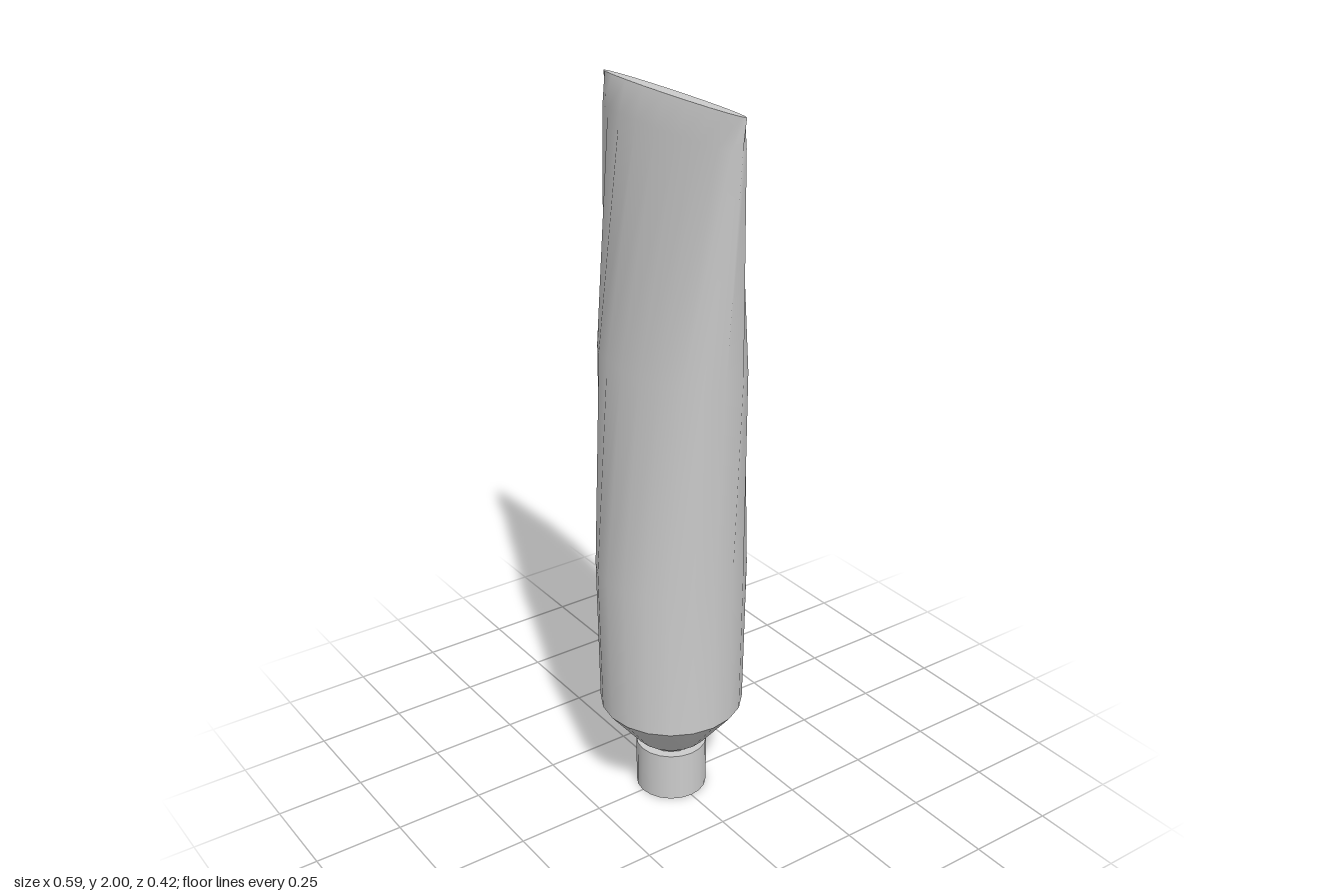
import * as THREE from 'three';

const SIDES = 20;

// Skin through rings of [y, halfWidth, halfDepth, fullness]
function loft(rings) {
  const pos = [], index = [];
  for (const [y, w, d, p] of rings) {
    for (let i = 0; i < SIDES; i++) {
      const a = (i / SIDES) * Math.PI * 2, s = Math.sin(a);
      const z = Math.abs(s) < 1e-6 ? 0 : Math.sign(s) * d * Math.abs(s) ** p;
      pos.push(w * Math.cos(a), y, z);
    }
  }
  for (let j = 0; j < rings.length - 1; j++) {
    for (let i = 0; i < SIDES; i++) {
      const a = j * SIDES + i, b = j * SIDES + ((i + 1) % SIDES);
      index.push(a, a + SIDES, b, b, a + SIDES, b + SIDES);
    }
  }
  const g = new THREE.BufferGeometry();
  g.setAttribute('position', new THREE.Float32BufferAttribute(pos, 3));
  g.setIndex(index);
  g.computeVertexNormals();
  return g;
}

export function createModel() {
  const group = new THREE.Group();
  const grey = new THREE.MeshStandardMaterial({ color: 0xcccccc });
  grey.name = 'light grey';

  const add = (name, geometry) => {
    const mesh = new THREE.Mesh(geometry, grey);
    mesh.name = name;
    group.add(mesh);
    return mesh;
  };

  // Screw cap the tube stands on
  add('cap', new THREE.CylinderGeometry(0.1, 0.1, 0.145, SIDES)).position.y = 0.0725;

  // Short neck and conical shoulder
  const profile = [[0.07, 0.14], [0.08, 0.152], [0.105, 0.17], [0.2, 0.288]];
  add('shoulder', new THREE.LatheGeometry(
    profile.map(([r, y]) => new THREE.Vector2(r, y)), SIDES));

  // Round body that flattens and widens toward the crimped end
  add('body', loft([
    [0.288, 0.2, 0.2, 1],
    [0.72, 0.201, 0.208, 1],
    [1.32, 0.234, 0.155, 0.77],
    [1.92, 0.283, 0.045, 0.65],
    [2, 0.295, 0.018, 1],
  ]));

  // Flat lens that closes the crimped end
  const lens = new THREE.CircleGeometry(1, SIDES);
  lens.rotateX(-Math.PI / 2).scale(0.295, 1, 0.018);
  add('crimpedEnd', lens).position.y = 2;

  return group;
}
